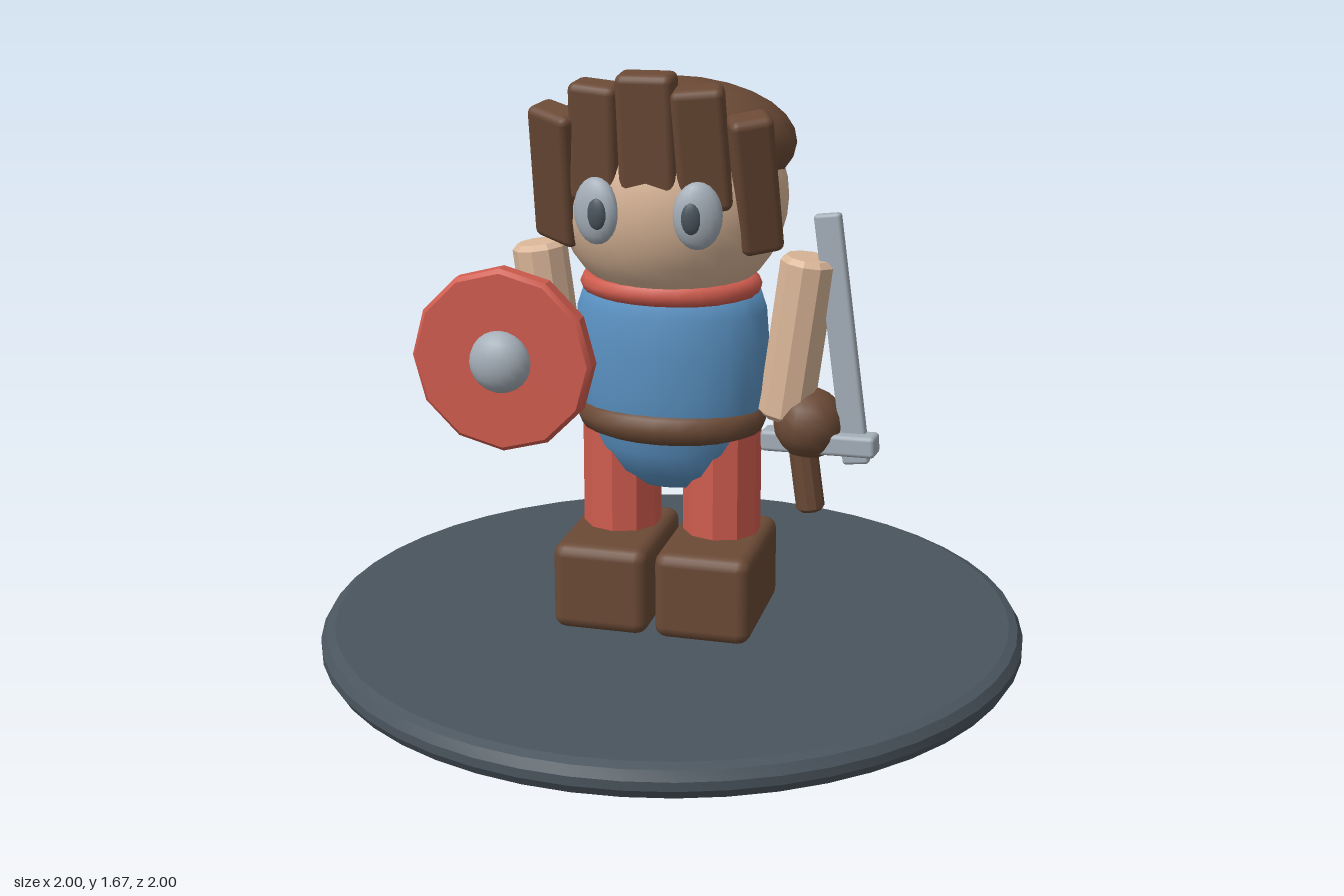
import * as THREE from 'three';
import { toCreasedNormals } from 'three/addons/utils/BufferGeometryUtils.js';
import { RoundedBoxGeometry } from 'three/addons/geometries/RoundedBoxGeometry.js';

export function createModel() {
  const model = new THREE.Group();
  model.name = 'miniatureWarrior';

  const material = (name, color) => {
    const m = new THREE.MeshStandardMaterial({ color });
    m.name = name;
    return m;
  };
  const red = material('red cloth', 0xd05c4e);
  const blue = material('blue tunic', 0x5b93c4);
  const skin = material('skin', 0xdab698);
  const brown = material('brown leather and hair', 0x6b4a36);
  const slate = material('dark slate', 0x4a555e);
  const steel = material('pale steel', 0xa4aeb8);

  const add = (name, geometry, mat, pos = [0, 0, 0], rot = [0, 0, 0], scale = [1, 1, 1]) => {
    const mesh = new THREE.Mesh(geometry, mat);
    mesh.name = name;
    mesh.position.set(...pos);
    mesh.rotation.set(...rot);
    mesh.scale.set(...scale);
    model.add(mesh);
    return mesh;
  };
  const box = (w, h, d, r = 0.02) => new RoundedBoxGeometry(w, h, d, 2, r);
  const ball = (w = 24, h = 16) => new THREE.SphereGeometry(1, w, h);
  const lathe = (points, sides, crease) => toCreasedNormals(
    new THREE.LatheGeometry(points.map(p => new THREE.Vector2(...p)), sides), crease);
  // Cylinder with chamfered ends, centred on its own middle
  const rod = (r, h, sides, bevel, crease = 0.4) => lathe(
    [[0, -h / 2], [r - bevel, -h / 2], [r, -h / 2 + bevel],
      [r, h / 2 - bevel], [r - bevel, h / 2], [0, h / 2]], sides, crease);

  // Round display base
  add('base', lathe([[0, 0.005], [0.96, 0.005], [0.985, 0.015], [1, 0.04], [1, 0.065],
    [0.985, 0.09], [0.96, 0.1], [0, 0.1]], 48, 0.35), slate);

  // Boots, legs, arms and hands in mirrored pairs
  for (const s of [1, -1]) {
    const side = s > 0 ? 'left' : 'right';
    add(side + 'Boot', box(0.27, 0.25, 0.4, 0.035), brown, [s * 0.145, 0.235, 0.055]);
    add(side + 'Leg', rod(0.11, 0.4, 10, 0.01), red, [s * 0.145, 0.5, 0]);
    add(side + 'Arm', rod(0.077, 0.46, 10, 0.015), skin, [s * 0.353, 0.93, 0], [0, 0, -s * 0.13]);
    add(side + 'Hand', ball(14, 10), brown, [s * 0.39, 0.69, 0], [0, 0, 0], [0.1, 0.1, 0.1]);
  }

  // Barrel-shaped body with belt and collar
  add('torso', new THREE.LatheGeometry([[0, 0.47], [0.1, 0.49], [0.18, 0.54], [0.225, 0.61], [0.25, 0.69],
    [0.267, 0.78], [0.275, 0.9], [0.267, 1], [0.24, 1.08], [0, 1.13]].map(p => new THREE.Vector2(...p)), 24),
  blue, [0, 0, 0], [0, 0, 0], [1, 1, 0.69]);
  add('belt', new THREE.TorusGeometry(0.224, 0.045, 8, 24).rotateX(Math.PI / 2), brown,
    [0, 0.69, 0.003], [0, 0, 0], [1, 1, 0.73]);
  add('collar', new THREE.TorusGeometry(0.224, 0.03, 8, 24).rotateX(Math.PI / 2), red,
    [0, 1.07, 0.01], [0, 0, 0], [1, 1, 0.78]);

  // Scarf tails hanging down the back
  add('scarfTailLeft', box(0.09, 0.4, 0.04, 0.012), red, [0.09, 0.97, -0.2], [-0.13, 0, -0.06]);
  add('scarfTailRight', box(0.09, 0.41, 0.04, 0.012), red, [-0.085, 0.9, -0.205], [0.19, 0, -0.12]);

  // Head and eyes
  add('head', ball(28, 18), skin, [0, 1.31, 0], [0, 0, 0], [0.32, 0.305, 0.285]);
  for (const s of [1, -1]) {
    const side = s > 0 ? 'left' : 'right';
    add(side + 'Eye', ball(18, 12), steel, [s * 0.137, 1.31, 0.262], [0, s * 0.25, 0], [0.065, 0.09, 0.035]);
    add(side + 'Pupil', ball(14, 10), slate, [s * 0.128, 1.308, 0.287], [0, s * 0.25, 0], [0.03, 0.046, 0.018]);
  }

  // Hair: rounded crown and five fringe locks
  add('hairCrown', ball(24, 14), brown, [0, 1.46, -0.02], [-0.1, 0, 0], [0.337, 0.17, 0.288]);
  const locks = [
    // x, y, z, width, length, lean, yaw, roll
    [-0.265, 1.385, 0.17, 0.145, 0.385, 0.26, -0.5, -0.05],
    [-0.142, 1.485, 0.222, 0.14, 0.325, 0.14, -0.2, -0.03],
    [0, 1.505, 0.24, 0.155, 0.345, 0.1, 0, 0.01],
    [0.138, 1.48, 0.225, 0.14, 0.33, 0.14, 0.2, 0.05],
    [0.268, 1.385, 0.17, 0.115, 0.385, 0.26, 0.45, 0.04],
  ];
  locks.forEach(([x, y, z, w, l, lean, yaw, roll], i) =>
    add('fringeLock' + (i + 1), box(w, l, 0.09, 0.022), brown, [x, y, z], [lean, yaw, roll]));

  // Sword held in the left hand
  add('swordBlade', box(0.075, 0.7, 0.032, 0.01), steel, [0.48, 0.935, 0.012], [0, -0.1, 0.14]);
  add('swordGuard', box(0.325, 0.06, 0.07, 0.012), steel, [0.425, 0.645, 0.022], [0, -0.1, 0.04]);
  add('swordGrip', rod(0.04, 0.26, 10, 0.01), brown, [0.385, 0.57, 0.015], [0, 0, 0.14]);

  // Round shield on the right arm
  add('shield', rod(0.26, 0.065, 12, 0.012), red, [-0.435, 0.86, 0.168], [Math.PI / 2, 0, 0]);
  add('shieldBoss', ball(18, 12), steel, [-0.435, 0.86, 0.2], [0, 0, 0], [0.088, 0.088, 0.062]);

  return model;
}
